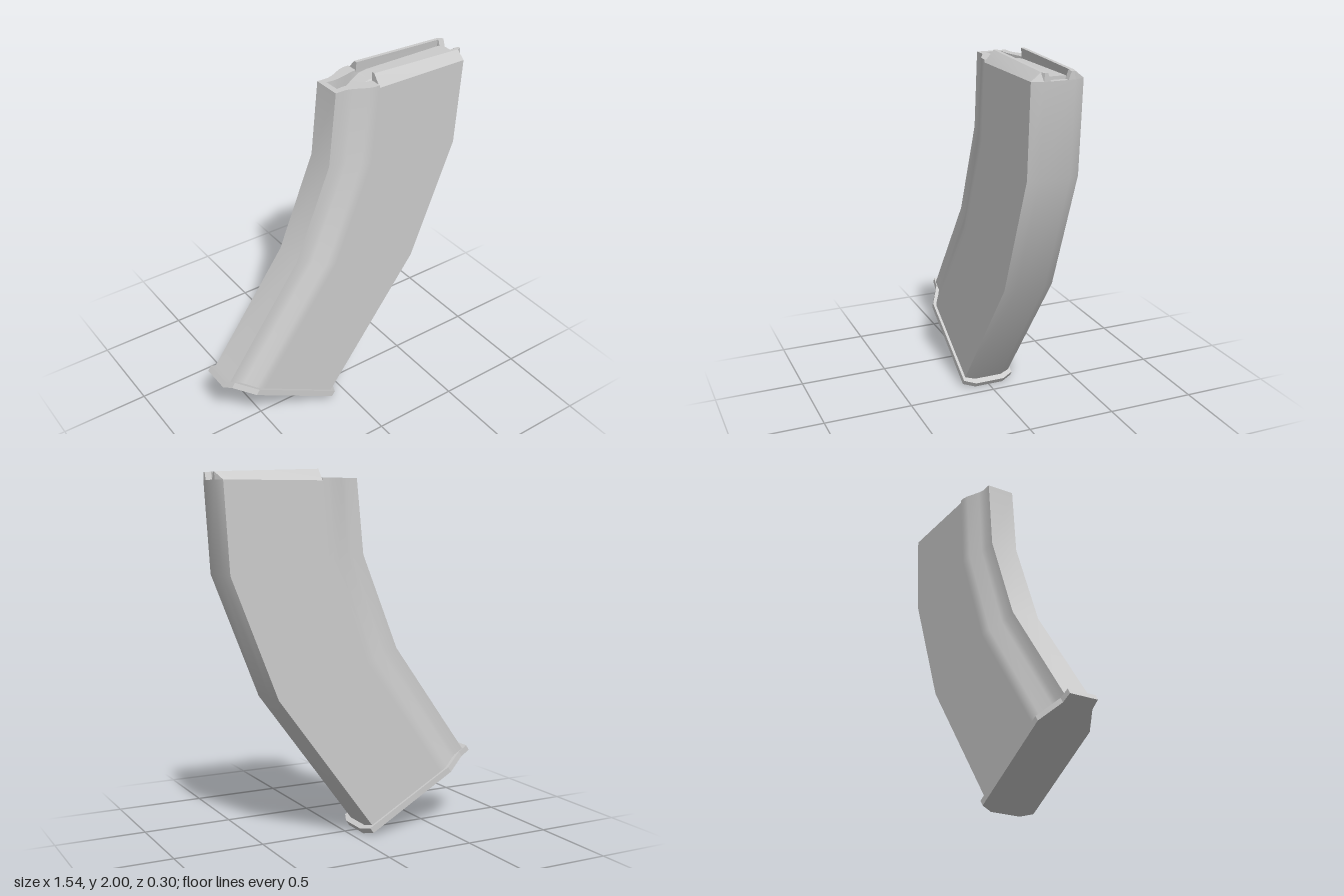
import * as THREE from 'three';
import { toCreasedNormals } from 'three/addons/utils/BufferGeometryUtils.js';

const material = new THREE.MeshStandardMaterial({ color: 0xcccccc });

// Skin a list of closed rings (each an array of [x, y, z]) and cap both ends.
function loft(name, rings, crease = 0.6) {
  const n = rings[0].length;
  const pos = [];
  const tri = (a, b, c) => pos.push(...a, ...b, ...c);
  for (let i = 0; i < rings.length - 1; i++) {
    for (let j = 0; j < n; j++) {
      const k = (j + 1) % n;
      const [a, b, c, d] = [rings[i][j], rings[i][k], rings[i + 1][k], rings[i + 1][j]];
      tri(a, b, c);
      tri(a, c, d);
    }
  }
  const centre = (ring) => [0, 1, 2].map((q) => ring.reduce((s, p) => s + p[q], 0) / n);
  const first = rings[0], last = rings[rings.length - 1];
  const c0 = centre(first), c1 = centre(last);
  for (let j = 0; j < n; j++) {
    const k = (j + 1) % n;
    tri(first[k], first[j], c0);
    tri(last[j], last[k], c1);
  }
  const geometry = new THREE.BufferGeometry();
  geometry.setAttribute('position', new THREE.Float32BufferAttribute(pos, 3));
  const mesh = new THREE.Mesh(toCreasedNormals(geometry, crease), material);
  mesh.name = name;
  return mesh;
}

// Complete a half outline [along, halfWidth] to a closed symmetric one.
const symmetric = (half) => [...half, ...half.map(([t, z]) => [t, -z]).reverse()];

// Place an outline between a left point and a right point in the x-y plane.
const station = (outline, [lx, ly], [rx, ry]) =>
  outline.map(([t, z]) => [lx + (rx - lx) * t, ly + (ry - ly) * t, z]);

export function createModel() {
  const group = new THREE.Group();

  // Curved hollow casing: narrow spine flaring into flat sides and a chamfered front
  const outer = symmetric([
    [0, 0.08], [0.08, 0.08], [0.12, 0.09], [0.21, 0.127], [0.25, 0.135],
    [0.287, 0.135], [0.289, 0.135], [0.97, 0.135], [1, 0.08],
  ]);
  const inner = symmetric([
    [0.04, 0.045], [0.08, 0.04], [0.12, 0.042], [0.21, 0.058], [0.25, 0.067],
    [0.287, 0.07], [0.289, 0.07], [0.95, 0.07], [0.96, 0.045],
  ]);
  const mouth = (outline, drop = 0) => outline.map(([t, z], j) => {
    const rear = Math.min(j, outline.length - 1 - j) < 6;
    return [-0.03 + 0.8 * t, (rear ? 1.955 : 1.94) - drop, z];
  });
  group.add(loft('casing', [
    station(outer, [-0.735, 0.4], [-0.085, 0.04]),
    station(outer, [-0.28, 1.03], [0.48, 0.8]),
    station(outer, [-0.07, 1.55], [0.74, 1.46]),
    mouth(outer),
    mouth(inner),
    mouth(inner, 0.12),
  ]));

  // Feed lips along both sides of the mouth, folding in at the front
  const lip = (x, top, zTopIn, zTopOut, zLowOut, zLowIn) =>
    [[x, top, zTopIn], [x, top, zTopOut], [x, 1.94, zLowOut], [x, 1.94, zLowIn]];
  const lipRings = [
    lip(0.2, 2.0, 0.065, 0.085, 0.135, 0.07),
    lip(0.735, 1.982, 0.065, 0.085, 0.135, 0.07),
    lip(0.736, 1.982, 0.06, 0.085, 0.135, 0.045),
    lip(0.746, 1.981, 0.06, 0.085, 0.135, 0.045),
    lip(0.77, 1.98, 0.06, 0.075, 0.08, 0.045),
  ];
  group.add(loft('leftFeedLip', lipRings, 0.3));
  const mirrored = lipRings.map((r) => r.map(([x, y, z]) => [x, y, -z]).reverse());
  group.add(loft('rightFeedLip', mirrored, 0.3));

  // Follower filling the mouth, dipping towards the spine
  const follower = [
    [0.005, 1.87, 0.03], [0.08, 1.89, 0.035], [0.14, 1.925, 0.045],
    [0.2, 1.95, 0.06], [0.25, 1.955, 0.066], [0.73, 1.955, 0.066],
  ].map(([x, y, w]) => [
    [x, y, -w * 0.75], [x, y, w * 0.75], [x, y - 0.02, w],
    [x, 1.82, w], [x, 1.82, -w], [x, y - 0.02, -w],
  ]);
  group.add(loft('follower', follower, 0.5));

  // Slanted floor plate with a small overhang
  const plate = symmetric([[0, 0.08], [0.075, 0.085], [0.24, 0.15], [0.96, 0.15], [1, 0.085]]);
  group.add(loft('floorPlate', [
    station(plate, [-0.773, 0.398], [-0.073, 0.0]),
    station(plate, [-0.755, 0.427], [-0.052, 0.03]),
  ], 0.3));

  return group;
}
